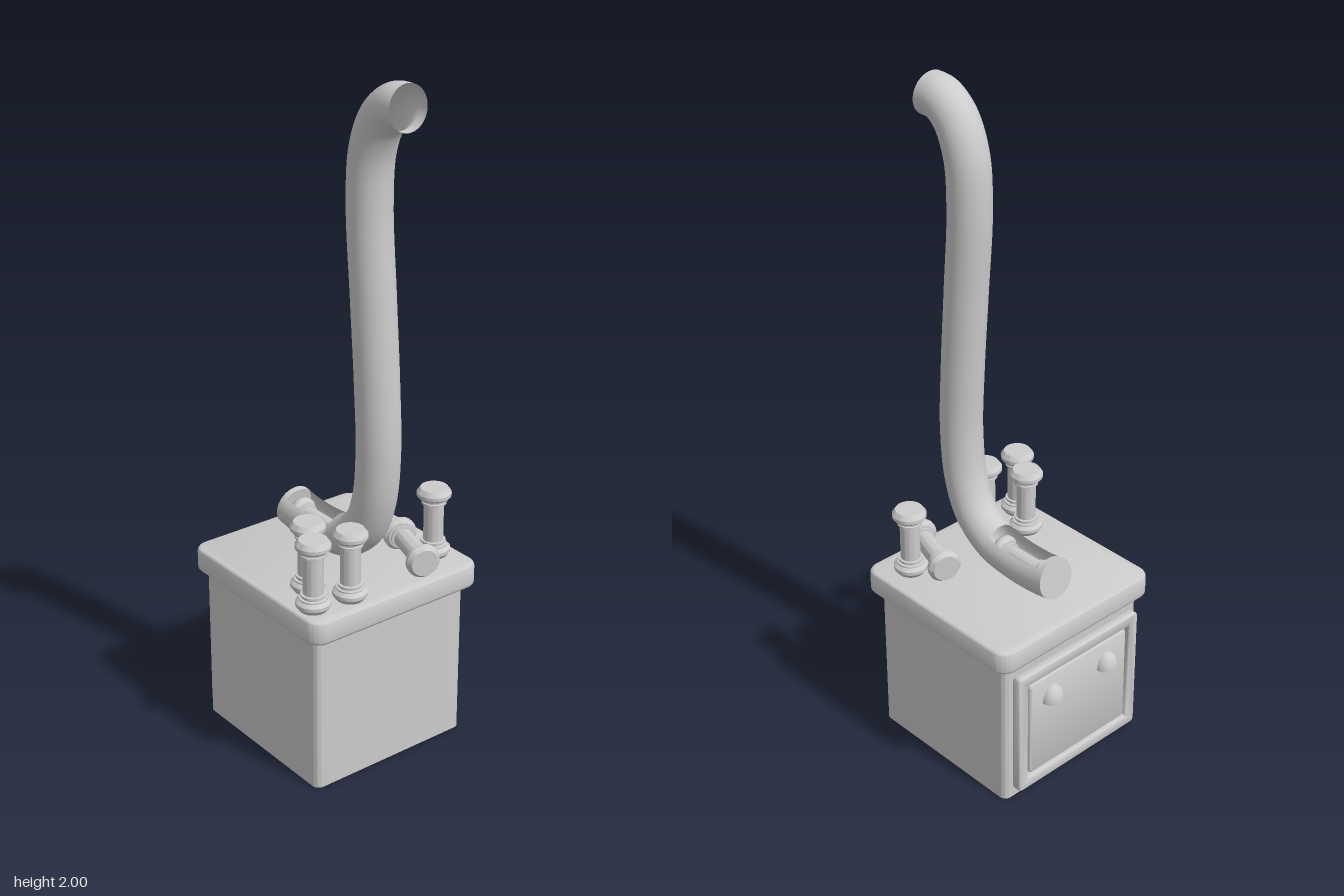
import * as THREE from 'three';
import { toCreasedNormals } from 'three/addons/utils/BufferGeometryUtils.js';

const grey = new THREE.MeshStandardMaterial({ color: 0xcccccc });
const greyDouble = new THREE.MeshStandardMaterial({ color: 0xcccccc, side: THREE.DoubleSide });

function mesh(name, geometry, material = grey) {
  const m = new THREE.Mesh(geometry, material);
  m.name = name;
  return m;
}

// Rounded rectangle centred on the origin, as a Shape or a hole Path
function roundedRect(w, h, r, Type = THREE.Shape) {
  const s = new Type();
  const x = w / 2 - r, y = h / 2 - r;
  s.absarc(x, y, r, 0, Math.PI / 2);
  s.absarc(-x, y, r, Math.PI / 2, Math.PI);
  s.absarc(-x, -y, r, Math.PI, Math.PI * 1.5);
  s.absarc(x, -y, r, Math.PI * 1.5, Math.PI * 2);
  s.closePath();
  return s;
}

// Extrusion from 0 to depth, with the bevel kept inside the outline's size
function slab(w, h, r, depth, bevel, hole) {
  const shape = roundedRect(w - 2 * bevel, h - 2 * bevel, Math.max(r - bevel, 0.002));
  if (hole) shape.holes.push(hole);
  const g = new THREE.ExtrudeGeometry(shape, {
    depth: depth - 2 * bevel, bevelEnabled: bevel > 0, bevelSize: bevel,
    bevelThickness: bevel, bevelSegments: 4, curveSegments: 8,
  });
  g.translate(0, 0, bevel);
  return toCreasedNormals(g, 0.6);
}

// Mirrored lathe profile: capped ends, ribbed collars, slim shaft
function canisterGeometry() {
  const half = [
    [0.029, 0.045], [0.029, 0.057], [0.036, 0.058], [0.036, 0.064], [0.032, 0.065],
    [0.032, 0.069], [0.04, 0.07], [0.04, 0.074], [0.05, 0.083], [0.05, 0.093],
    [0.04, 0.107], [0, 0.107],
  ];
  const pts = [
    ...half.map(([r, y]) => new THREE.Vector2(r, -y)).reverse(),
    ...half.map(([r, y]) => new THREE.Vector2(r, y)),
  ];
  return toCreasedNormals(new THREE.LatheGeometry(pts, 32), 0.5);
}

function createPipe() {
  const pipe = new THREE.Group();
  pipe.name = 'pipe';
  const path = new THREE.CatmullRomCurve3([
    [-0.195, 0.63, -0.006], [-0.13, 0.621, -0.006], [-0.03, 0.621, -0.006],
    [0.06, 0.638, -0.005], [0.14, 0.7, -0.004], [0.185, 0.8, -0.002],
    [0.203, 0.95, 0], [0.197, 1.15, 0.002], [0.18, 1.4, 0.004],
    [0.164, 1.65, 0.006], [0.175, 1.8, 0.007], [0.217, 1.893, 0.008],
    [0.27, 1.934, 0.008], [0.316, 1.938, 0.008],
  ].map((p) => new THREE.Vector3(...p)));
  const radius = 0.0625;
  const tube = new THREE.TubeGeometry(path, 300, radius, 48);

  // Remove the faces inside the window on top of the lower end
  const pos = tube.attributes.position, index = tube.index.array, kept = [];
  for (let i = 0; i < index.length; i += 6) {
    const c = new THREE.Vector3();
    for (let k = 0; k < 6; k++) {
      c.add(new THREE.Vector3().fromBufferAttribute(pos, index[i + k]).divideScalar(6));
    }
    const inWindow = c.x > -0.168 && c.x < 0.035 && Math.abs(c.z + 0.006) < 0.042
      && c.y > 0.63 && c.y < 0.72;
    if (!inWindow) kept.push(...index.slice(i, i + 6));
  }
  tube.setIndex(kept);
  pipe.add(mesh('pipeTube', tube, greyDouble));

  // Closed lower end
  const cap = mesh('pipeEndCap', new THREE.CircleGeometry(radius, 48), greyDouble);
  cap.position.copy(path.getPoint(0));
  cap.quaternion.setFromUnitVectors(new THREE.Vector3(0, 0, 1), path.getTangent(0).negate());
  pipe.add(cap);
  return pipe;
}

function createDoor() {
  const door = new THREE.Group();
  door.name = 'door';
  door.add(mesh('doorBack', slab(0.47, 0.4, 0.012, 0.012, 0)));
  door.add(mesh('doorFrame', slab(0.48, 0.41, 0.015, 0.03, 0.006,
    roundedRect(0.42, 0.35, 0.01, THREE.Path))));
  door.add(mesh('doorPanel', slab(0.39, 0.32, 0.012, 0.027, 0.006)));
  // Cup handles, open underneath
  for (const z of [-0.108, 0.112]) {
    const handle = mesh('doorHandle',
      new THREE.SphereGeometry(1, 24, 10, 0, Math.PI * 2, 0, Math.PI / 2), greyDouble);
    handle.scale.set(0.037, 0.05, 0.034);
    handle.position.set(z, 0.073, 0.026);
    door.add(handle);
  }
  door.rotation.y = -Math.PI / 2;
  door.position.set(-0.26, 0.235, 0.003);
  return door;
}

export function createModel() {
  const model = new THREE.Group();
  model.name = 'pipeStation';

  // Hollow cabinet, open at the bottom
  const body = mesh('cabinet', slab(0.535, 0.535, 0.022, 0.49, 0,
    roundedRect(0.527, 0.527, 0.018, THREE.Path)));
  body.rotation.x = -Math.PI / 2;
  body.position.set(0.0075, 0, 0.002);
  model.add(body);

  // Rounded lid
  const lid = mesh('lid', slab(0.597, 0.597, 0.045, 0.075, 0.014));
  lid.rotation.x = -Math.PI / 2;
  lid.position.set(0.0075, 0.48, -0.002);
  model.add(lid);

  model.add(createDoor(), createPipe());

  // Canisters: four standing, one lying, one inside the pipe window
  const canister = canisterGeometry();
  for (const [x, y, z] of [
    [0.193, 0.67, -0.215], [0.237, 0.662, 0.123], [0.127, 0.662, 0.186], [0.222, 0.662, 0.24],
  ]) {
    const c = mesh('standingCanister', canister);
    c.position.set(x, y, z);
    model.add(c);
  }
  const up = new THREE.Vector3(0, 1, 0);
  const lying = mesh('lyingCanister', canister);
  lying.quaternion.setFromUnitVectors(up, new THREE.Vector3(0.95, 0, 0.31).normalize());
  lying.position.set(0.183, 0.605, -0.141);
  model.add(lying);

  const loaded = mesh('loadedCanister', canister);
  loaded.rotation.z = -Math.PI / 2;
  loaded.scale.set(0.85, 0.95, 0.85);
  loaded.position.set(-0.067, 0.626, -0.006);
  model.add(loaded);

  return model;
}
